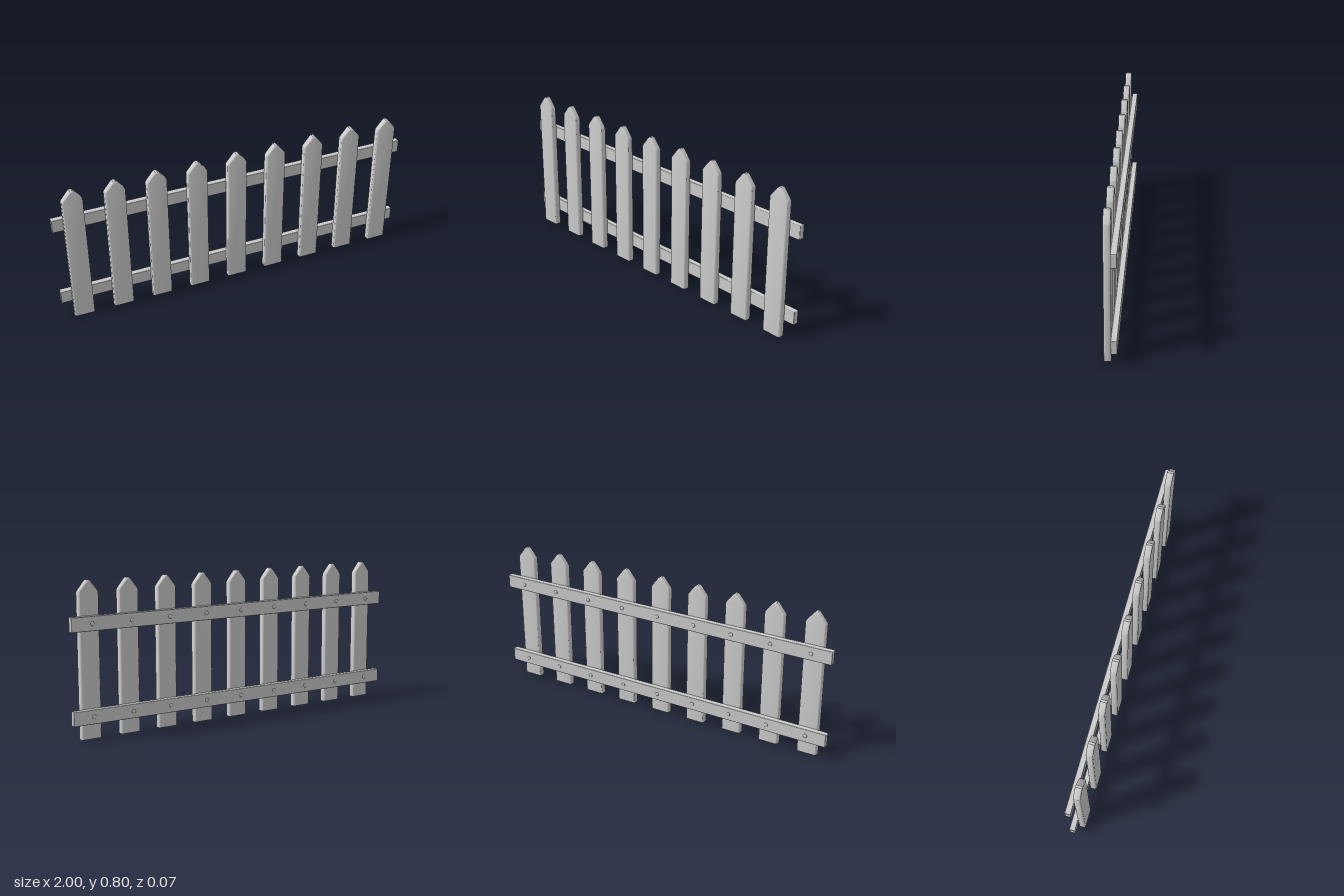
import * as THREE from 'three';
import { toCreasedNormals } from 'three/addons/utils/BufferGeometryUtils.js';
import { RoundedBoxGeometry } from 'three/addons/geometries/RoundedBoxGeometry.js';

const COUNT = 9, SPACING = 0.222, DEPTH = 0.037, BEVEL = 0.008;

// Pointed board with rounded edges and a flat-cut foot
function picketGeometry() {
  const outline = [
    [-0.055, -0.03], [0.055, -0.03], [0.055, 0.743], [0.05, 0.752],
    [0.014, 0.797], [0.006, 0.804], [-0.006, 0.804], [-0.014, 0.797],
    [-0.05, 0.752], [-0.055, 0.743],
  ];
  const shape = new THREE.Shape(outline.map(([x, y]) => new THREE.Vector2(x, y)));
  const geometry = new THREE.ExtrudeGeometry(shape, {
    depth: DEPTH - 2 * BEVEL, bevelThickness: BEVEL, bevelSize: BEVEL,
    bevelOffset: -BEVEL, bevelSegments: 3,
  });
  geometry.translate(0, 0, BEVEL);
  // Cut the foot level with the ground
  const p = geometry.attributes.position;
  for (let i = 0; i < p.count; i++) p.setY(i, Math.max(0, p.getY(i)));
  return toCreasedNormals(geometry, 0.6);
}

export function createModel() {
  const fence = new THREE.Group();
  fence.name = 'picketFence';
  const material = new THREE.MeshStandardMaterial({ color: 0xcccccc });

  const add = (name, geometry, x, y, z) => {
    const mesh = new THREE.Mesh(geometry, material);
    mesh.name = name;
    mesh.position.set(x, y, z);
    fence.add(mesh);
    return mesh;
  };

  const picket = picketGeometry();
  const rail = new RoundedBoxGeometry(2, 0.075, 0.032, 2, 0.004);
  // Domed nail head facing backwards
  const nail = new THREE.SphereGeometry(0.011, 12, 4, 0, Math.PI * 2, 0, Math.PI / 2);
  nail.scale(1, 0.45, 1).rotateX(-Math.PI / 2);

  const railHeights = { lowerRail: 0.12, upperRail: 0.591 };
  for (const [name, y] of Object.entries(railHeights)) add(name, rail, 0, y, -0.016);

  for (let i = 0; i < COUNT; i++) {
    const x = (i - (COUNT - 1) / 2) * SPACING;
    add('picket', picket, x, 0, 0);
    for (const y of Object.values(railHeights)) add('nailHead', nail, x, y, -0.032);
  }
  return fence;
}
